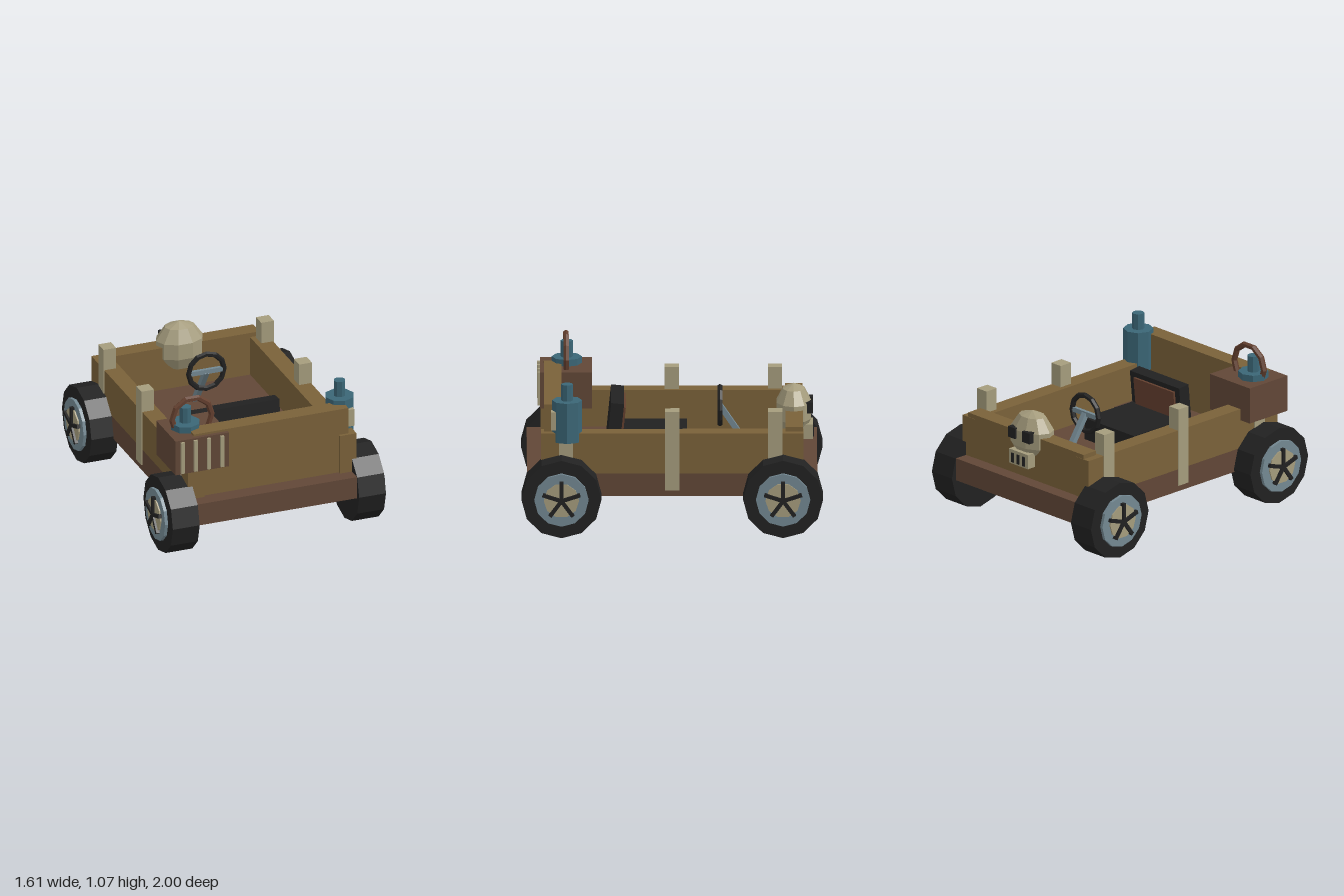
import * as THREE from 'three';

const mat = (name, color) => {
  const m = new THREE.MeshStandardMaterial({ color, flatShading: true });
  m.name = name;
  return m;
};

export function createModel() {
  const wood = mat('wood', 0x7a6139);
  const darkWood = mat('darkWood', 0x614737);
  const leather = mat('leather', 0x633f2e);
  const bone = mat('bone', 0xa59c7d);
  const steel = mat('steel', 0x738892);
  const teal = mat('teal', 0x3b6676);
  const black = mat('black', 0x212121);

  const root = new THREE.Group();
  root.name = 'cart';

  const add = (name, geo, material, x, y, z, parent = root) => {
    const mesh = new THREE.Mesh(geo, material);
    mesh.name = name;
    mesh.position.set(x, y, z);
    parent.add(mesh);
    return mesh;
  };
  // Box given by its lower and upper limits on each axis
  const box = (name, material, x0, x1, y0, y1, z0, z1, parent = root) =>
    add(name, new THREE.BoxGeometry(x1 - x0, y1 - y0, z1 - z0), material,
      (x0 + x1) / 2, (y0 + y1) / 2, (z0 + z1) / 2, parent);
  const group = (name, x = 0, y = 0, z = 0) => {
    const g = new THREE.Group();
    g.name = name;
    g.position.set(x, y, z);
    root.add(g);
    return g;
  };

  // Body
  box('chassis', darkWood, -0.6, 0.6, 0.245, 0.4, -0.96, 0.96);
  box('tallEndWall', wood, -0.55, 0.55, 0.4, 0.86, 0.73, 0.847);
  box('lowEndWall', wood, -0.55, 0.55, 0.4, 0.705, -0.866, -0.75);
  for (const s of [-1, 1]) {
    add('sideWall', new THREE.BoxGeometry(0.118, 0.275, 1.736), wood, s * 0.541, 0.5375, 0);
    for (const z of [-0.682, 0, 0.702])
      add('post', new THREE.BoxGeometry(0.09, 0.54, 0.094), bone, s * 0.561, 0.555, z);
  }
  // Floor planks behind the seat
  for (let i = -2; i <= 2; i++)
    box('floorPlank', darkWood, i * 0.196 - 0.082, i * 0.196 + 0.082, 0.4, 0.43, 0.4, 0.725);

  // Wheels, built with the outer side towards +x and turned for the other side
  for (const s of [-1, 1]) for (const z of [-0.733, 0.733]) {
    const wheel = group('wheel', 0, 0.265, z);
    const disc = (name, material, r, x0, x1, sides) => {
      const g = new THREE.CylinderGeometry(r, r, x1 - x0, sides).rotateZ(-Math.PI / 2);
      add(name, g, material, (x0 + x1) / 2, 0, 0, wheel);
    };
    disc('tyre', black, 0.265, 0.567, 0.758, 12);
    disc('rim', steel, 0.18, 0.74, 0.78, 12);
    disc('hubDisc', bone, 0.117, 0.76, 0.79, 10);
    for (let i = 0; i < 5; i++) {
      const g = new THREE.BoxGeometry(0.025, 0.13, 0.025).translate(0, 0.065, 0);
      add('spoke', g, black, 0.792, 0, 0, wheel).rotation.x = i * Math.PI * 0.4;
    }
    if (s < 0) wheel.rotation.y = Math.PI;
  }

  // Seat with a backrest leaning towards the steering wheel
  box('seatCushion', black, -0.235, 0.235, 0.4, 0.55, -0.1, 0.375);
  const backrest = group('backrest', 0, 0.63, 0.375);
  box('backrestPad', black, -0.235, 0.235, -0.15, 0.15, -0.043, 0.043, backrest);
  box('backrestPanel', leather, -0.19, 0.19, -0.1, 0.115, -0.058, -0.042, backrest);
  backrest.rotation.x = -0.1;

  // Steering wheel and column
  const steering = group('steering', 0, 0.705, -0.317);
  add('steeringRing', new THREE.TorusGeometry(0.126, 0.019, 6, 12), black, 0, 0, 0, steering);
  box('steeringCrossbar', steel, -0.12, 0.12, -0.016, 0.016, -0.012, 0.012, steering);
  const column = add('steeringColumn', new THREE.BoxGeometry(0.036, 0.37, 0.036), steel,
    0, -0.155, -0.105, steering);
  column.rotation.x = Math.atan2(0.21, 0.31);

  // Storage box with bars and a hoop handle
  box('storageBox', darkWood, -0.69, -0.31, 0.597, 0.845, 0.527, 0.873);
  for (let i = 0; i < 4; i++)
    add('boxBar', new THREE.BoxGeometry(0.025, 0.225, 0.03), bone, -0.642 + i * 0.0935, 0.72, 0.875);
  add('hoopHandle', new THREE.TorusGeometry(0.141, 0.021, 6, 10), leather, -0.505, 0.916, 0.7);

  // Gas bottles
  for (const x of [-0.55, 0.547]) {
    add('bottle', new THREE.CylinderGeometry(0.1, 0.1, 0.275, 8), teal, x, 0.7525, 0.695);
    add('bottleNeck', new THREE.CylinderGeometry(0.04, 0.04, 0.13, 8), teal, x, 0.935, 0.695);
  }
  box('bottleLabel', bone, 0.545, 0.61, 0.7, 0.822, 0.77, 0.803);

  // Skull ornament facing outward over the low wall
  const skull = group('skull', 0, 0.68, -0.805);
  const cranium = new THREE.SphereGeometry(1, 10, 5).scale(0.175, 0.178, 0.126);
  add('cranium', cranium, bone, 0, 0, 0, skull);
  box('jaw', bone, -0.09, 0.09, -0.185, -0.085, -0.129, -0.05, skull);
  for (const s of [-1, 1])
    add('eye', new THREE.BoxGeometry(0.068, 0.075, 0.05), black, s * 0.068, 0.032, -0.102, skull);
  for (const x of [-0.052, 0, 0.052])
    add('toothGap', new THREE.BoxGeometry(0.02, 0.066, 0.009), black, x, -0.14, -0.13, skull);

  return root;
}
